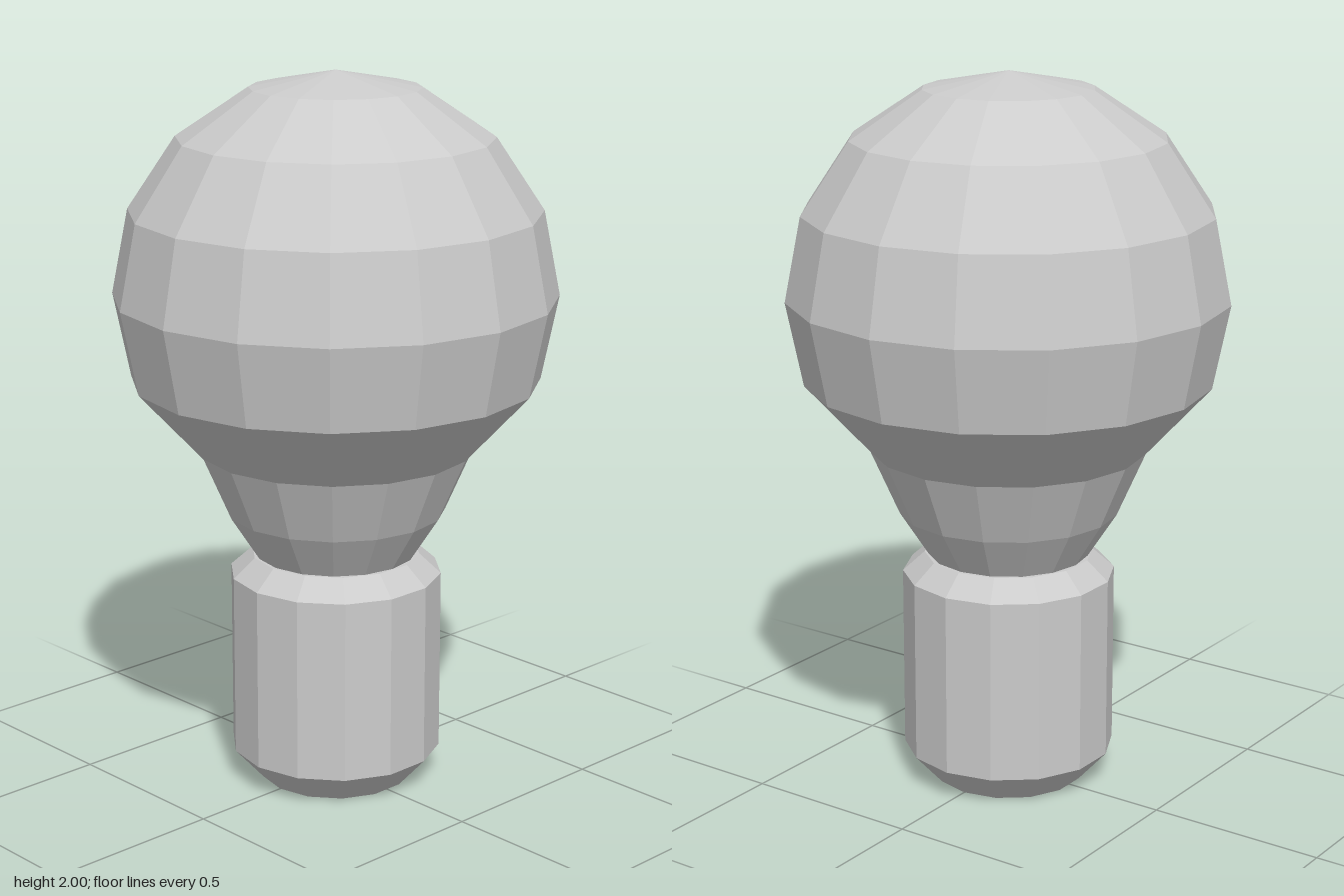
import * as THREE from 'three';

const material = new THREE.MeshStandardMaterial({ color: 0xcccccc, flatShading: true });

// Faceted solid of revolution; profile runs bottom to top as [radius, height]
function turned(name, profile, sides) {
  const points = profile.map(([r, y]) => new THREE.Vector2(r, y));
  const mesh = new THREE.Mesh(new THREE.LatheGeometry(points, sides), material);
  mesh.name = name;
  return mesh;
}

export function createModel() {
  const model = new THREE.Group();
  model.name = 'lightBulb';

  // Socket base: bevelled 14-sided cylinder, closed at both ends
  model.add(turned('socketBase', [
    [0, 0], [0.215, 0], [0.296, 0.09], [0.296, 0.605], [0.235, 0.66], [0, 0.66],
  ], 14));

  // Glass: 16-sided neck flaring into a sphere
  const centre = 1.393, radius = 0.607;
  const glass = [[0.225, 0.66], [0.305, 0.785], [0.383, 0.965]];
  for (let i = -1; i <= 4; i++) {
    const a = (i * Math.PI) / 8;
    glass.push([i === 4 ? 0 : radius * Math.cos(a), centre + radius * Math.sin(a)]);
  }
  model.add(turned('glassBulb', glass, 16));

  return model;
}
